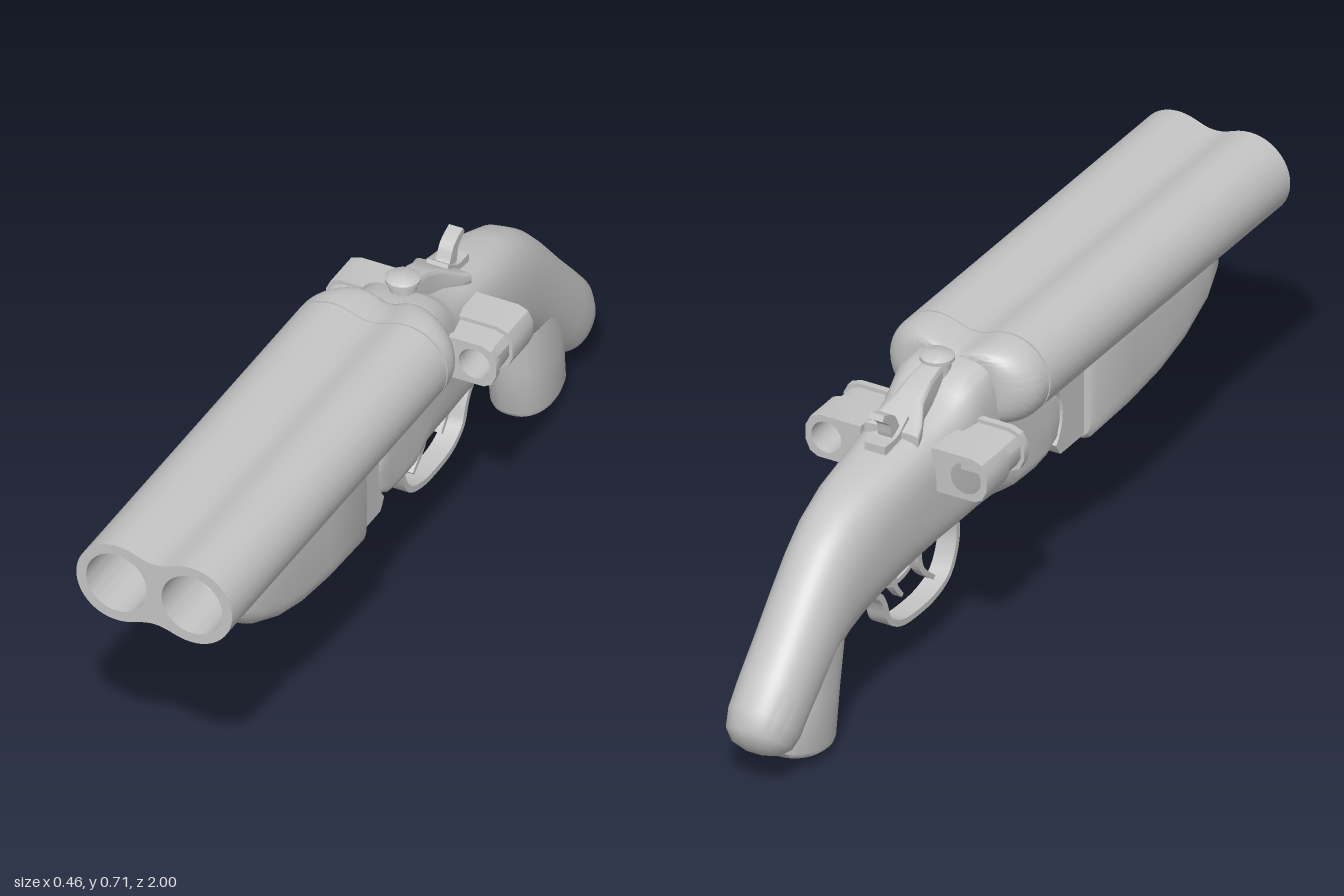
import * as THREE from 'three';
import { toCreasedNormals, mergeVertices } from 'three/addons/utils/BufferGeometryUtils.js';

const V2 = (x, y) => new THREE.Vector2(x, y);

// Skin a list of rings, ordered front to back, and cap both ends
function loft(rings, crease = 0.7) {
  const n = rings[0].length, pos = [], idx = [];
  rings.forEach(r => r.forEach(p => pos.push(...p)));
  for (let i = 0; i < rings.length - 1; i++) {
    for (let j = 0; j < n; j++) {
      const k = (j + 1) % n, a = i * n + j, b = i * n + k, c = b + n, d = a + n;
      idx.push(a, d, b, b, d, c);
    }
  }
  [0, rings.length - 1].forEach((ri, side) => {
    const flat = rings[ri].map(p => V2(p[0], p[1] - p[2] * 1e-3));
    const c = [0, 1, 2].map(q => rings[ri].reduce((s, p) => s + p[q], 0) / n);
    const centre = pos.length / 3;
    pos.push(...c);
    flat.forEach((_, j) => {
      const a = ri * n + j, b = ri * n + (j + 1) % n;
      idx.push(centre, ...(side ? [b, a] : [a, b]));
    });
  });
  const g = new THREE.BufferGeometry();
  g.setAttribute('position', new THREE.Float32BufferAttribute(pos, 3));
  g.setIndex(idx);
  return toCreasedNormals(mergeVertices(g, 1e-5), crease);
}

// Rounded section between an upper and a lower point given as (z, y)
function section([tz, ty, bz, by, w, power]) {
  const ring = [], count = 48;
  const se = v => Math.sign(v) * Math.pow(Math.abs(v), 2 / power);
  for (let i = 0; i < count; i++) {
    const a = i / count * Math.PI * 2;
    const x = w * se(Math.cos(a)), s = (se(Math.sin(a)) + 1) / 2;
    ring.push([x, by + (ty - by) * s, bz + (tz - bz) * s]);
  }
  return ring;
}

// Flat plate drawn in the side plane (z, y), centred on x
function sidePlate(points, width) {
  const g = new THREE.ExtrudeGeometry(new THREE.Shape(points), { depth: width, bevelEnabled: false });
  g.translate(0, 0, -width / 2).rotateY(-Math.PI / 2);
  return toCreasedNormals(g, 0.6);
}

// Bent strap following a path in the side plane, tapering from t0 to t1
function strap(path, t0, t1, width) {
  const curve = new THREE.SplineCurve(path.map(p => V2(...p)));
  const up = [], down = [], n = 40;
  for (let i = 0; i <= n; i++) {
    const u = i / n, p = curve.getPoint(u), t = curve.getTangent(u), h = (t0 + (t1 - t0) * u) / 2;
    up.push(V2(p.x - t.y * h, p.y + t.x * h));
    down.unshift(V2(p.x + t.y * h, p.y - t.x * h));
  }
  return sidePlate([...up, ...down], width);
}

// Joined outline of the twin barrels
function barrelShape() {
  const s = new THREE.Shape(), x = 0.092, y = 0.605, r = 0.098;
  s.moveTo(0, 0.525);
  s.bezierCurveTo(0.035, 0.525, 0.05, y - r, x, y - r);
  s.absarc(x, y, r, -Math.PI / 2, Math.PI / 2, false);
  s.bezierCurveTo(0.05, y + r, 0.035, 0.683, 0, 0.683);
  s.bezierCurveTo(-0.035, 0.683, -0.05, y + r, -x, y + r);
  s.absarc(-x, y, r, Math.PI / 2, Math.PI * 1.5, false);
  s.bezierCurveTo(-0.05, y - r, -0.035, 0.525, 0, 0.525);
  return s;
}

export function createModel() {
  const model = new THREE.Group();
  const grey = new THREE.MeshStandardMaterial({ color: 0xc4c4c4 });
  grey.name = 'plain grey';
  const add = (name, geometry, parent = model) => {
    const m = new THREE.Mesh(geometry, grey);
    m.name = name;
    parent.add(m);
    return m;
  };

  // Twin barrels with open bores
  const barrels = barrelShape();
  for (const s of [-1, 1]) {
    barrels.holes.push(new THREE.Path().absarc(s * 0.092, 0.605, 0.074, 0, Math.PI * 2, true));
  }
  const tube = new THREE.ExtrudeGeometry(barrels, { depth: 1.018, bevelEnabled: false, curveSegments: 28 });
  add('barrels', toCreasedNormals(tube.translate(0, 0, -0.018), 0.6));

  // Breech with a rounded back
  let outline = barrelShape().getPoints(20);
  outline = outline.filter((p, i) => i === 0 || p.distanceTo(outline[i - 1]) > 1e-4);
  if (outline[0].distanceTo(outline[outline.length - 1]) < 1e-4) outline.pop();
  const breech = [[-0.018, 0.97], [-0.024, 0.97], [-0.024, 1]];
  const breechRings = breech.map(([z, s]) => outline.map(p => [p.x * s, 0.605 + (p.y - 0.605) * s, z]));
  for (let i = 0; i <= 10; i++) {
    const a = i / 10 * Math.PI / 2, z = -0.04 - 0.08 * Math.sin(a);
    const sx = 0.55 + 0.45 * Math.cos(a), sy = 0.7 + 0.3 * Math.cos(a);
    breechRings.push(outline.map(p => [p.x * sx, 0.64 + (p.y - 0.64) * sy, z]));
  }
  add('breech', loft(breechRings));

  // Receiver flowing into the curved stock: top z, y, bottom z, y, half width, squareness
  add('receiverAndStock', loft([
    [0.152, 0.45, 0.152, 0.40, 0.112, 8],
    [0.138, 0.485, 0.138, 0.36, 0.115, 8],
    [0.10, 0.51, 0.10, 0.335, 0.115, 8],
    [0.05, 0.52, 0.05, 0.326, 0.115, 8],
    [-0.03, 0.53, -0.03, 0.325, 0.115, 7],
    [-0.06, 0.61, -0.06, 0.325, 0.115, 6],
    [-0.10, 0.675, -0.10, 0.324, 0.115, 4.5],
    [-0.18, 0.672, -0.16, 0.322, 0.115, 4],
    [-0.215, 0.645, -0.19, 0.32, 0.112, 4],
    [-0.25, 0.622, -0.23, 0.317, 0.108, 4],
    [-0.33, 0.603, -0.31, 0.31, 0.103, 3.6],
    [-0.45, 0.586, -0.42, 0.295, 0.10, 3],
    [-0.56, 0.572, -0.52, 0.275, 0.096, 2.6],
    [-0.65, 0.54, -0.60, 0.252, 0.091, 2.4],
    [-0.72, 0.49, -0.65, 0.235, 0.087, 2.3],
    [-0.78, 0.43, -0.70, 0.21, 0.085, 2.2],
    [-0.86, 0.34, -0.76, 0.165, 0.083, 2.2],
    [-0.93, 0.265, -0.82, 0.115, 0.082, 2.2],
    [-0.98, 0.21, -0.85, 0.08, 0.08, 2.2],
    [-1.0, 0.165, -0.875, 0.066, 0.073, 2.2],
    [-0.993, 0.128, -0.91, 0.066, 0.055, 2],
    [-0.97, 0.098, -0.945, 0.08, 0.02, 2],
  ].map(section)));

  // Stub at the heel of the stock
  add('stockHeel', loft([
    [-0.85, 0.27, -0.645, 0.27, 0.08, 2.3],
    [-0.862, 0.15, -0.66, 0.15, 0.075, 2.3],
    [-0.873, 0.05, -0.675, 0.03, 0.073, 2.3],
    [-0.862, 0.035, -0.682, 0.018, 0.069, 2.3],
    [-0.80, 0.004, -0.73, 0.0, 0.025, 2],
  ].map(section)));

  // Fore-end under the barrels, deepening toward the back
  add('foreEnd', loft([
    [0.855, 0.54, 0.855, 0.505, 0.06, 3],
    [0.84, 0.56, 0.84, 0.47, 0.10, 3],
    [0.81, 0.56, 0.81, 0.435, 0.122, 3.5],
    [0.75, 0.56, 0.75, 0.393, 0.135, 4],
    [0.65, 0.56, 0.65, 0.352, 0.14, 5],
    [0.55, 0.56, 0.55, 0.327, 0.14, 6],
    [0.42, 0.56, 0.42, 0.309, 0.14, 6],
    [0.262, 0.56, 0.262, 0.303, 0.14, 6],
    [0.25, 0.56, 0.25, 0.311, 0.133, 6],
  ].map(section)));

  // Hinge block with a hollow rear face fitting the receiver
  const hinge = [V2(0.26, 0.54), V2(0.26, 0.325), V2(0.15, 0.325), V2(0.142, 0.335)];
  for (let i = 0; i <= 10; i++) {
    const a = -0.75 + i / 10 * 1.5;
    hinge.push(V2(0.055 + 0.105 * Math.cos(a), 0.425 + 0.105 * Math.sin(a)));
  }
  hinge.push(V2(0.12, 0.54));
  add('hingeBlock', sidePlate(hinge, 0.23));

  // Hollow side housings: a front flange, a groove and a rear block
  for (const side of [-1, 1]) {
    const housing = new THREE.Group();
    housing.name = side > 0 ? 'leftHousing' : 'rightHousing';
    [[-0.195, 0.017, 0], [-0.258, 0.063, 0.009], [-0.355, 0.097, 0]].forEach(([z, depth, inset], i) => {
      const o = [[0.09, 0.477], [0.198, 0.477], [0.217, 0.487], [0.228, 0.511], [0.228, 0.549],
        [0.216, 0.573], [0.192, 0.582], [0.09, 0.582]];
      const pts = o.map(([x, y]) => {
        const px = x > 0.1 ? x - inset * (x - 0.1) / 0.128 : x;
        return V2(side * px, 0.5295 + (y - 0.5295) * (1 - inset / 0.0525));
      });
      const s = new THREE.Shape(pts);
      s.holes.push(new THREE.Path().absarc(side * 0.176, 0.53, 0.038, 0, Math.PI * 2, true));
      const g = new THREE.ExtrudeGeometry(s, { depth, bevelEnabled: false, curveSegments: 10 });
      add(['frontFlange', 'groove', 'rearBlock'][i], toCreasedNormals(g.translate(0, 0, z), 0.5), housing);
    });
    model.add(housing);
  }

  // Trigger guard with its rear tang
  add('triggerGuard', strap([[-0.15, 0.32], [-0.133, 0.27], [-0.134, 0.215], [-0.165, 0.155], [-0.225, 0.129],
    [-0.30, 0.124], [-0.37, 0.132], [-0.42, 0.162], [-0.438, 0.205], [-0.46, 0.24], [-0.51, 0.268],
    [-0.58, 0.262]], 0.014, 0.016, 0.048));

  // Two curved triggers and their link
  add('frontTrigger', strap([[-0.25, 0.33], [-0.272, 0.27], [-0.262, 0.21], [-0.21, 0.163]], 0.024, 0.01, 0.022));
  add('rearTrigger', strap([[-0.335, 0.32], [-0.37, 0.27], [-0.375, 0.225], [-0.345, 0.185]], 0.022, 0.01, 0.022));
  add('triggerLink', strap([[-0.27, 0.28], [-0.31, 0.24], [-0.37, 0.23], [-0.43, 0.25]], 0.012, 0.012, 0.02));

  // Top lever: domed button and sloping thumb piece
  const button = new THREE.LatheGeometry([V2(0.03, 0.65), V2(0.031, 0.692), V2(0.039, 0.694), V2(0.039, 0.702),
    V2(0.03, 0.709), V2(0, 0.711)], 32);
  add('leverButton', toCreasedNormals(button.translate(0, 0, -0.18), 0.7));
  add('topLever', loft([
    [-0.19, 0.695, -0.19, 0.62, 0.024, 6],
    [-0.25, 0.684, -0.25, 0.60, 0.03, 6],
    [-0.30, 0.66, -0.30, 0.59, 0.038, 6],
    [-0.345, 0.628, -0.345, 0.58, 0.06, 6],
    [-0.375, 0.612, -0.375, 0.58, 0.068, 6],
  ].map(section)));

  // Hammer with a curled spur, seated on a rounded base
  add('hammer', strap([[-0.355, 0.57], [-0.385, 0.615], [-0.40, 0.65], [-0.437, 0.672]], 0.048, 0.014, 0.034));
  add('hammerBase', strap([[-0.34, 0.625], [-0.39, 0.598], [-0.445, 0.598]], 0.03, 0.02, 0.052));

  return model;
}
